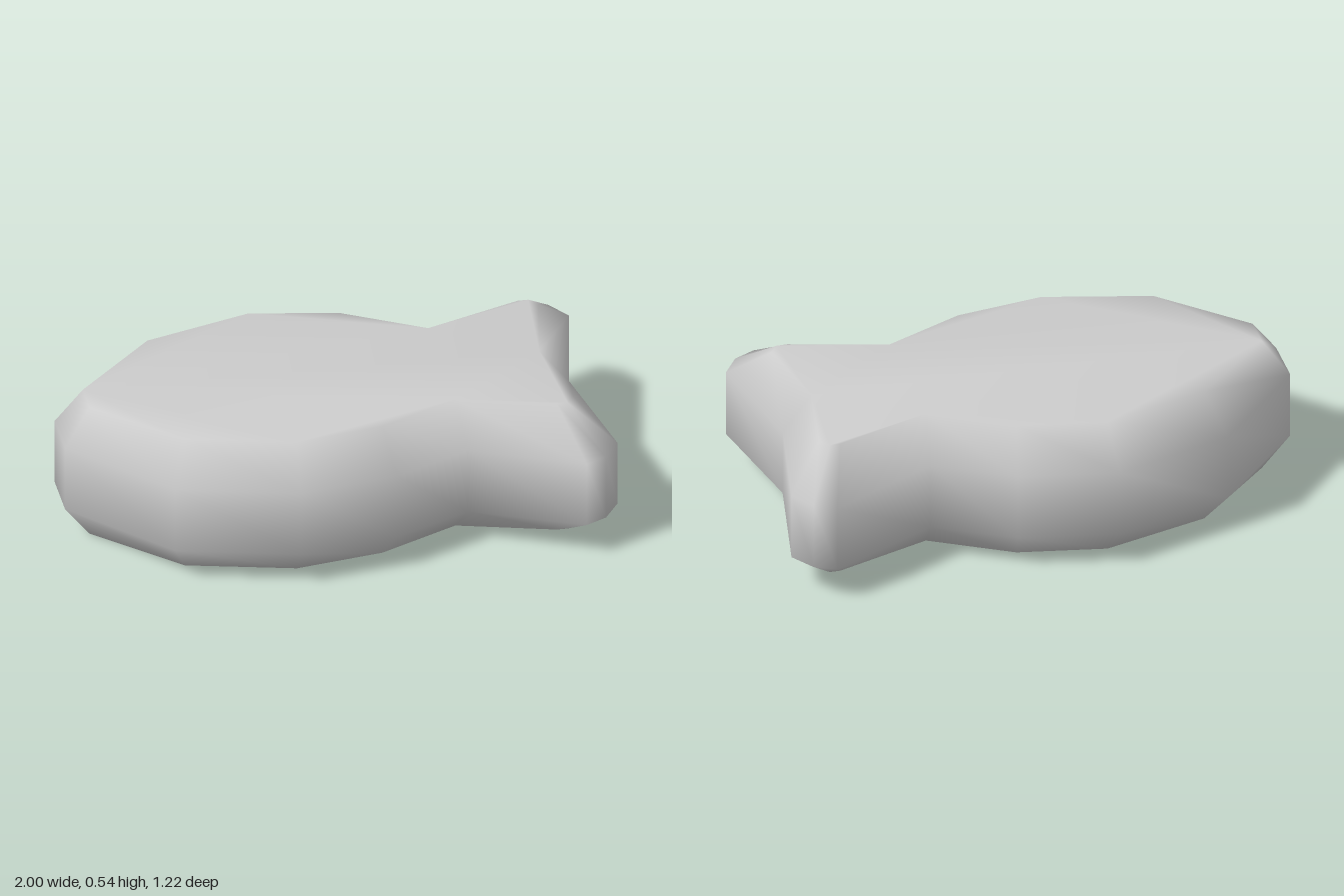
import * as THREE from 'three';

// Outline as [x, z] of the widest ring, then the inset rim of the flat faces
const OUTER = [
  [-1, -0.08], [-0.66, -0.46], [-0.21, -0.61], [0.16, -0.54], [0.45, -0.38],
  [0.86, -0.59], [0.94, -0.55], [1, -0.46], [0.91, 0], [1, 0.47], [0.94, 0.56],
  [0.86, 0.6], [0.45, 0.42], [0.16, 0.55], [-0.21, 0.605], [-0.66, 0.49], [-1, 0.12],
];
const INNER = [
  [-0.9, -0.05], [-0.6, -0.35], [-0.2, -0.47], [0.13, -0.41], [0.43, -0.24],
  [0.79, -0.37], [0.83, -0.37], [0.86, -0.33], [0.8, 0], [0.86, 0.34], [0.83, 0.38],
  [0.79, 0.38], [0.43, 0.28], [0.13, 0.42], [-0.2, 0.47], [-0.6, 0.37], [-0.9, 0.08],
];

function fishGeometry() {
  const rings = [[INNER, 0], [OUTER, 0.14], [OUTER, 0.4], [INNER, 0.54]];
  const n = OUTER.length;
  const positions = rings.flatMap(([ring, y]) => ring.flatMap(([x, z]) => [x, y, z]));
  const index = [];

  // Bevel, side wall, bevel
  for (let r = 0; r < rings.length - 1; r++) {
    for (let i = 0; i < n; i++) {
      const a = r * n + i, b = r * n + (i + 1) % n;
      index.push(a, a + n, b + n, a, b + n, b);
    }
  }

  // Flat top and bottom
  const contour = INNER.map(([x, z]) => new THREE.Vector2(x, z));
  for (const [a, b, c] of THREE.ShapeUtils.triangulateShape(contour, [])) {
    const [p, q, s] = [contour[a], contour[b], contour[c]];
    const facesUp = (q.y - p.y) * (s.x - p.x) - (q.x - p.x) * (s.y - p.y) > 0;
    const [u, v] = facesUp ? [b, c] : [c, b];
    const top = 3 * n;
    index.push(top + a, top + u, top + v, a, v, u);
  }

  const geometry = new THREE.BufferGeometry();
  geometry.setAttribute('position', new THREE.Float32BufferAttribute(positions, 3));
  geometry.setIndex(index);
  geometry.computeVertexNormals();
  return geometry;
}

export function createModel() {
  const group = new THREE.Group();
  group.name = 'fishCracker';
  const grey = new THREE.MeshStandardMaterial({ color: 0xcccccc });
  grey.name = 'lightGrey';
  const body = new THREE.Mesh(fishGeometry(), grey);
  body.name = 'fishBody';
  group.add(body);
  return group;
}
